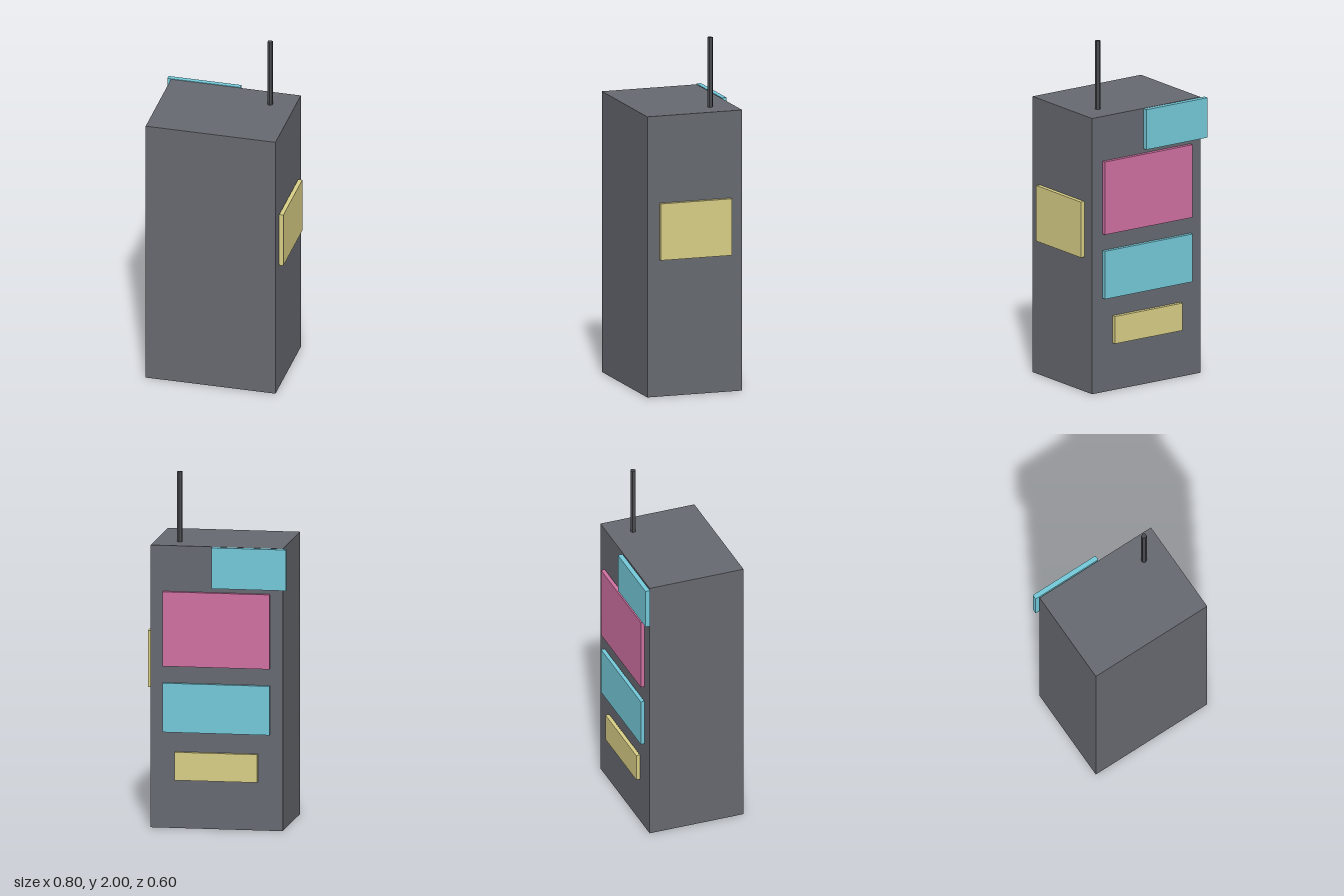
import * as THREE from 'three';

export function createModel() {
  const group = new THREE.Group();

  const add = (name, geometry, color) => {
    const material = new THREE.MeshStandardMaterial({ color, flatShading: true });
    const mesh = new THREE.Mesh(geometry, material);
    mesh.name = name;
    group.add(mesh);
    return mesh;
  };

  // Box given by its extents along each axis
  const box = (name, color, [x0, x1], [y0, y1], [z0, z1]) =>
    add(name, new THREE.BoxGeometry(x1 - x0, y1 - y0, z1 - z0), color)
      .position.set((x0 + x1) / 2, (y0 + y1) / 2, (z0 + z1) / 2);

  const grey = 0x666970, cyan = 0x74c9d9, pink = 0xd070a2, yellow = 0xd8ce86;

  // Main case
  box('body', grey, [-0.377, 0.373], [0, 1.602], [-0.266, 0.298]);

  // Panels standing just off the back
  const backZ = [-0.291, -0.269];
  box('upperCornerPanel', cyan, [-0.4, 0.022], [1.37, 1.602], [-0.3, -0.272]);
  box('screenPanel', pink, [-0.305, 0.302], [0.92, 1.343], backZ);
  box('middlePanel', cyan, [-0.305, 0.302], [0.546, 0.824], backZ);
  box('lowerPanel', yellow, [-0.236, 0.233], [0.275, 0.434], backZ);

  // Panel standing just off the left side
  box('sidePanel', yellow, [0.376, 0.4], [0.782, 1.105], [-0.196, 0.227]);

  // Six-sided antenna
  add('antenna', new THREE.CylinderGeometry(0.016, 0.016, 0.4, 6), 0x4a4b50)
    .position.set(0.232, 1.8, -0.126);

  return group;
}
